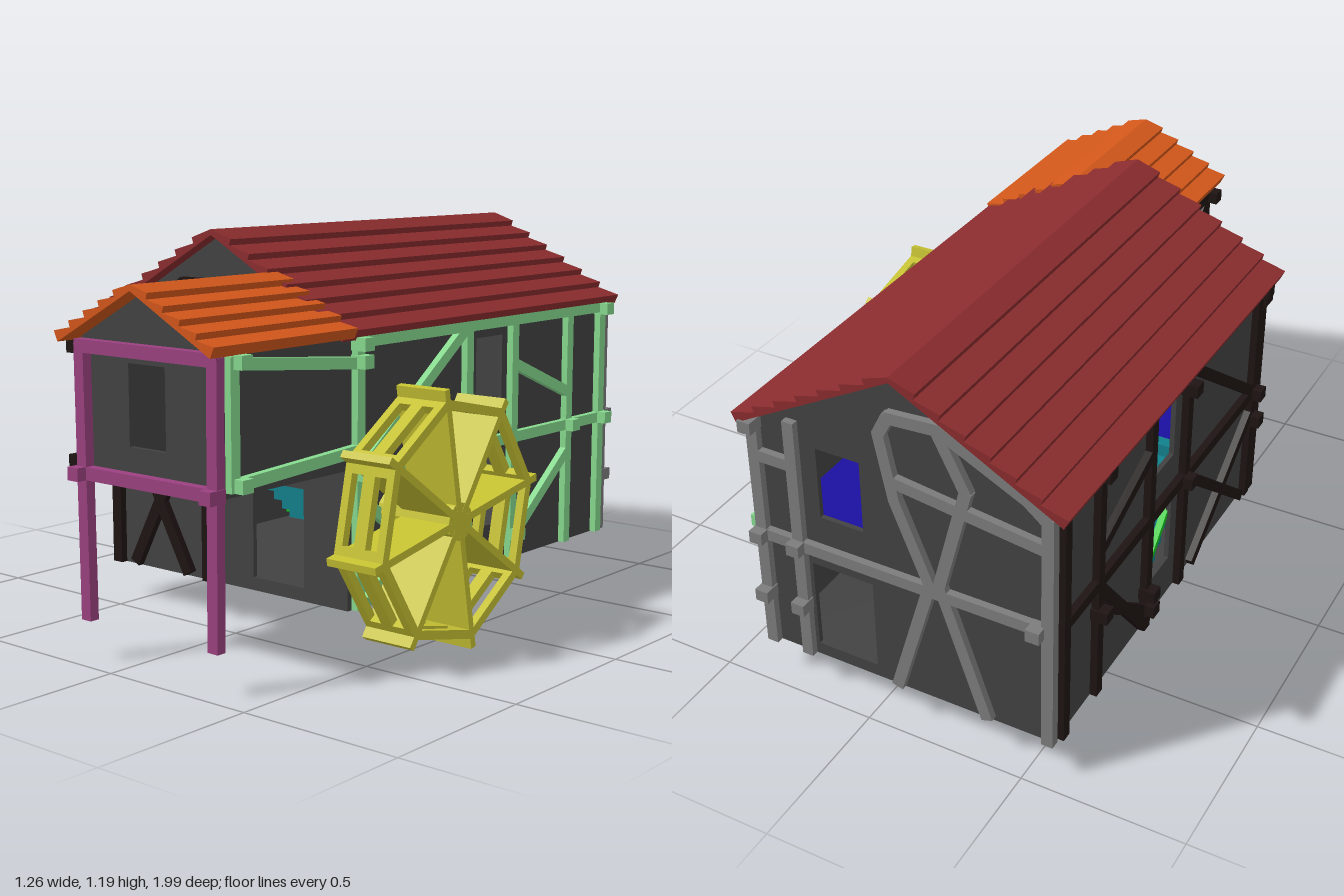
import * as THREE from 'three';

const COLORS = {
  wall: 0x424242, dark: 0x1e1413, green: 0x86d98e, purple: 0x9b4180, grey: 0x7c7c7c,
  red: 0x8a2c2e, orange: 0xd2571a, yellow: 0xc6c232, blue: 0x1a10a0, teal: 0x12808c, lime: 0x10c818,
};
const mats = {};
for (const k in COLORS) {
  mats[k] = new THREE.MeshStandardMaterial({ color: COLORS[k], flatShading: true, side: THREE.DoubleSide });
}

function add(parent, name, geo, mat, x = 0, y = 0, z = 0) {
  const m = new THREE.Mesh(geo, mats[mat]);
  m.name = name;
  m.position.set(x, y, z);
  parent.add(m);
  return m;
}
function box(parent, name, mat, x0, x1, y0, y1, z0, z1) {
  return add(parent, name, new THREE.BoxGeometry(x1 - x0, y1 - y0, z1 - z0), mat,
    (x0 + x1) / 2, (y0 + y1) / 2, (z0 + z1) / 2);
}
const shapeOf = pts => new THREE.Shape(pts.map(p => new THREE.Vector2(p[0], p[1])));
const rect = (x0, x1, y0, y1) => [[x0, y0], [x1, y0], [x1, y1], [x0, y1]];
function panel(pts, holes, depth) {
  const s = shapeOf(pts);
  for (const h of holes) s.holes.push(new THREE.Path(rect(...h).map(p => new THREE.Vector2(...p))));
  return new THREE.ExtrudeGeometry(s, { depth, bevelEnabled: false });
}

// A wall's own plane: local x runs along it, local z points outwards
function side(parent, name, x, z, turn) {
  const g = new THREE.Group();
  g.name = name;
  g.position.set(x, 0, z);
  g.rotation.y = turn;
  parent.add(g);
  return g;
}
// Timber following polylines on a wall plane
function timbers(g, mat, paths, w = 0.034, flip = 1) {
  for (const path of paths) {
    for (let i = 0; i + 1 < path.length; i++) {
      const [x0, y0] = path[i], [x1, y1] = path[i + 1];
      const dx = (x1 - x0) * flip, dy = y1 - y0;
      const b = add(g, 'timber', new THREE.BoxGeometry(Math.hypot(dx, dy) + w * 0.25, w, 0.03), mat,
        (x0 + x1) / 2 * flip, (y0 + y1) / 2, 0.007);
      b.rotation.z = Math.atan2(dy, dx);
    }
  }
}
// Square beam ends sticking out of a wall
function beamEnds(g, mat, pts, flip = 1) {
  for (const [x, y] of pts) add(g, 'beamEnd', new THREE.BoxGeometry(0.042, 0.038, 0.06), mat, x * flip, y, 0.022);
}

// Overlapping-plank roof: saw-tooth profile swept along z
function roof(parent, name, mat, cx, top, half, slope, n, z0, z1) {
  const s = half / n, right = [];
  for (let i = 0; i < n; i++) {
    const a = i * s, b = a + s;
    right.push([a, top - a * slope + (i ? 0.012 : 0.017)], [b + 0.006, top - b * slope + 0.03]);
  }
  right.push([half - 0.008, top - half * slope]);
  const left = right.slice(1).reverse().map(([x, y]) => [-x, y]);
  const pts = [...left, ...right, [0, top]];
  add(parent, name, panel(pts, [], z1 - z0), mat, cx, 0, z0);
}

function waterWheel(parent) {
  const g = new THREE.Group();
  g.name = 'waterWheel';
  g.position.set(0.545, 0.4, 0.24);
  parent.add(g);
  const R = 0.362, len = 2 * R * Math.sin(Math.PI / 8), apo = R * Math.cos(Math.PI / 8);
  const frame = panel(rect(-0.085, 0.085, -len / 2, len / 2),
    [[-0.06, -0.02, -0.1, 0.1], [0.02, 0.06, -0.1, 0.1]], 0.026);
  const paddle = new THREE.BoxGeometry(0.17, 0.022, 0.39);
  for (let i = 0; i < 8; i++) {
    const a = i * Math.PI / 4 + 0.18;
    const arm = new THREE.Group();
    arm.name = 'wheelSector';
    arm.rotation.x = a;
    g.add(arm);
    add(arm, 'paddle', paddle, 'yellow', 0, 0, 0.195);
    const rim = new THREE.Group();
    rim.name = 'rimSegment';
    rim.rotation.x = Math.PI / 8;
    arm.add(rim);
    add(rim, 'rimFrame', frame, 'yellow', 0, 0, apo - 0.026);
  }
  const axle = add(g, 'axle', new THREE.CylinderGeometry(0.056, 0.056, 0.255, 12), 'yellow', -0.043);
  axle.rotation.z = Math.PI / 2;
}

export function createModel() {
  const model = new THREE.Group();
  model.name = 'timberHouseWithWaterWheel';

  // Walls of the main house
  const gable = [[-0.57, 0.13], [0.365, 0.13], [0.365, 0.915], [-0.12, 1.188], [-0.57, 0.932]];
  const windows = [[0.02, 0.16, 0.64, 0.87], [0, 0.2, 0.17, 0.465]];
  add(model, 'frontWall', panel(gable, windows, 0.015), 'wall', 0, 0, 0.405);
  add(model, 'backWall', panel(gable, windows, 0.015), 'wall', 0, 0, -0.94);
  const right = side(model, 'rightSide', 0.365, 0, Math.PI / 2);
  const left = side(model, 'leftSide', -0.57, 0, -Math.PI / 2);
  const longHoles = [[0.2, 0.34, 0.64, 0.86], [0.2, 0.34, 0.26, 0.485]];
  const longWall = panel(rect(-0.42, 0.94, 0.13, 0.925), longHoles, 0.015);
  add(right, 'longWall', longWall, 'wall', 0, 0, -0.015);
  add(left, 'longWall', longWall, 'wall', 0, 0, 0).rotation.y = Math.PI;
  box(model, 'groundFloor', 'wall', -0.57, 0.365, 0.13, 0.142, -0.94, 0.42);

  // Upper floor with a stair opening, and the stairs
  box(model, 'upperFloor', 'blue', -0.3, 0.35, 0.52, 0.54, -0.92, 0.4);
  box(model, 'upperFloorFront', 'blue', -0.555, -0.3, 0.52, 0.54, 0, 0.4);
  box(model, 'upperFloorBack', 'blue', -0.555, -0.3, 0.52, 0.54, -0.92, -0.42);
  for (let i = 0; i < 10; i++) {
    box(model, 'stairStep', 'teal', -0.54, -0.34, 0.14 + i * 0.04, 0.18 + i * 0.04, -0.4 + i * 0.04, -0.35 + i * 0.04);
  }
  for (const x of [-0.55, -0.33]) {
    const rail = add(model, 'stairRail', new THREE.BoxGeometry(0.02, 0.018, 0.56), 'lime', x, 0.42, -0.2);
    rail.rotation.x = -Math.PI / 4;
    for (const z of [-0.36, -0.05]) box(model, 'railPost', 'lime', x - 0.01, x + 0.01, z + 0.52, z + 0.62, z - 0.008, z + 0.008);
  }

  // Jettied front room on posts
  const annexGable = [[-0.165, 0.55], [0.365, 0.55], [0.365, 0.93], [0.1, 1.073], [-0.165, 0.93]];
  add(model, 'annexFront', panel(annexGable, [windows[0]], 0.015), 'wall', 0, 0, 0.915);
  box(model, 'annexFloor', 'wall', -0.165, 0.365, 0.54, 0.555, 0.41, 0.93);
  box(model, 'annexRightWall', 'wall', 0.35, 0.365, 0.55, 0.93, 0.41, 0.93);
  box(model, 'annexLeftWall', 'wall', -0.165, -0.15, 0.55, 0.93, 0.41, 0.93);
  const porch = side(model, 'annexFrame', 0, 0.938, 0);
  timbers(porch, 'purple', [[[-0.14, 0.135], [-0.147, 0.91]], [[0.352, 0.135], [0.36, 0.91]],
    [[-0.16, 0.907], [0.37, 0.907]], [[-0.16, 0.552], [0.37, 0.552]]], 0.037);
  beamEnds(porch, 'purple', [[-0.148, 0.552], [0.358, 0.552]]);

  // Timber frames of the long sides, along z
  const frame = [
    ...[0.385, -0.14, -0.385, -0.705, -0.905].map(z => [[z, 0.135], [z, 0.905]]),
    [[0.4, 0.905], [-0.92, 0.905]], [[0.4, 0.53], [-0.92, 0.53]],
    [[-0.12, 0.895], [0.38, 0.535]], [[-0.12, 0.515], [0.34, 0.15]], [[-0.05, 0.145], [0.37, 0.45]],
    [[-0.4, 0.76], [-0.7, 0.64]], [[-0.39, 0.2], [-0.7, 0.44]],
  ];
  timbers(right, 'green', frame, 0.034, -1);
  timbers(right, 'green', [[[0.9, 0.56], [0.9, 0.91]], [[0.9, 0.895], [0.39, 0.845]], [[0.9, 0.573], [0.39, 0.597]]], 0.034, -1);
  beamEnds(right, 'green', [[0.385, 0.9], [0.385, 0.53], [0.385, 0.85], [0.885, 0.9], [0.885, 0.575],
    [-0.705, 0.53], [-0.905, 0.9], [-0.905, 0.53], [0.12, 0.27], [-0.39, 0.215]], -1);
  timbers(left, 'dark', frame);
  timbers(left, 'dark', [[[-0.4, 0.15], [-0.7, 0.51]]]);
  beamEnds(left, 'dark', [[0.385, 0.905], [0.385, 0.53], [0.385, 0.43], [-0.15, 0.525], [-0.15, 0.85],
    [-0.39, 0.215], [-0.39, 0.27], [-0.71, 0.905], [-0.71, 0.43]]);
  const annexLeft = side(model, 'annexLeftFrame', -0.165, 0, -Math.PI / 2);
  timbers(annexLeft, 'dark', [[[0.9, 0.56], [0.9, 0.92]], [[0.43, 0.9], [0.92, 0.9]], [[0.43, 0.575], [0.92, 0.575]],
    [[0.65, 0.58], [0.65, 0.9]], [[0.65, 0.6], [0.89, 0.88]]]);
  beamEnds(annexLeft, 'dark', [[0.64, 0.9], [0.74, 0.7], [0.92, 0.9], [0.92, 0.575]]);

  // Curved and crossed timbers of the front
  const front = side(model, 'frontFrame', 0, 0.42, 0);
  timbers(front, 'dark', [
    [[-0.57, 0.135], [-0.57, 0.92]], [[-0.175, 0.135], [-0.175, 0.92]], [[-0.57, 0.593], [-0.17, 0.593]],
    [[-0.57, 0.84], [-0.38, 0.895], [-0.17, 0.895]],
    [[-0.19, 1.037], [-0.265, 1.037], [-0.345, 0.975], [-0.375, 0.9], [-0.42, 0.71], [-0.48, 0.59], [-0.375, 0.35], [-0.26, 0.145]],
    [[-0.275, 0.9], [-0.275, 0.7], [-0.24, 0.59], [-0.375, 0.36], [-0.49, 0.145]],
  ], 0.038);
  beamEnds(front, 'dark', [[-0.575, 0.905], [-0.575, 0.845], [-0.38, 0.895], [-0.25, 0.593]]);

  // Timbers of the back
  const back = side(model, 'backFrame', 0, -0.94, Math.PI);
  timbers(back, 'grey', [
    [[-0.56, 0.135], [-0.56, 0.9]], [[0.355, 0.135], [0.355, 0.91]], [[0.23, 0.135], [0.23, 0.94]],
    [[0.36, 0.53], [-0.56, 0.53]], [[0.36, 0.8], [0.23, 0.8]], [[-0.09, 0.86], [-0.56, 0.8]],
    [[-0.56, 0.89], [-0.5, 0.94], [-0.24, 1.07], [-0.09, 1.06], [-0.06, 1], [-0.1, 0.8], [-0.2, 0.55], [-0.08, 0.145]],
    [[-0.24, 1.06], [-0.32, 0.9], [-0.23, 0.56], [-0.37, 0.145]],
  ], 0.036, -1);
  beamEnds(back, 'grey', [[0.355, 0.905], [0.355, 0.53], [0.23, 0.53], [0.23, 0.32], [-0.53, 0.53], [0.355, 0.32]], -1);

  // Roofs
  roof(model, 'mainRoof', 'red', -0.117, 1.188, 0.508, 0.545, 7, -0.985, 0.465);
  roof(model, 'annexRoof', 'orange', 0.1, 1.073, 0.298, 0.52, 5, 0.42, 0.995);

  waterWheel(model);
  return model;
}
